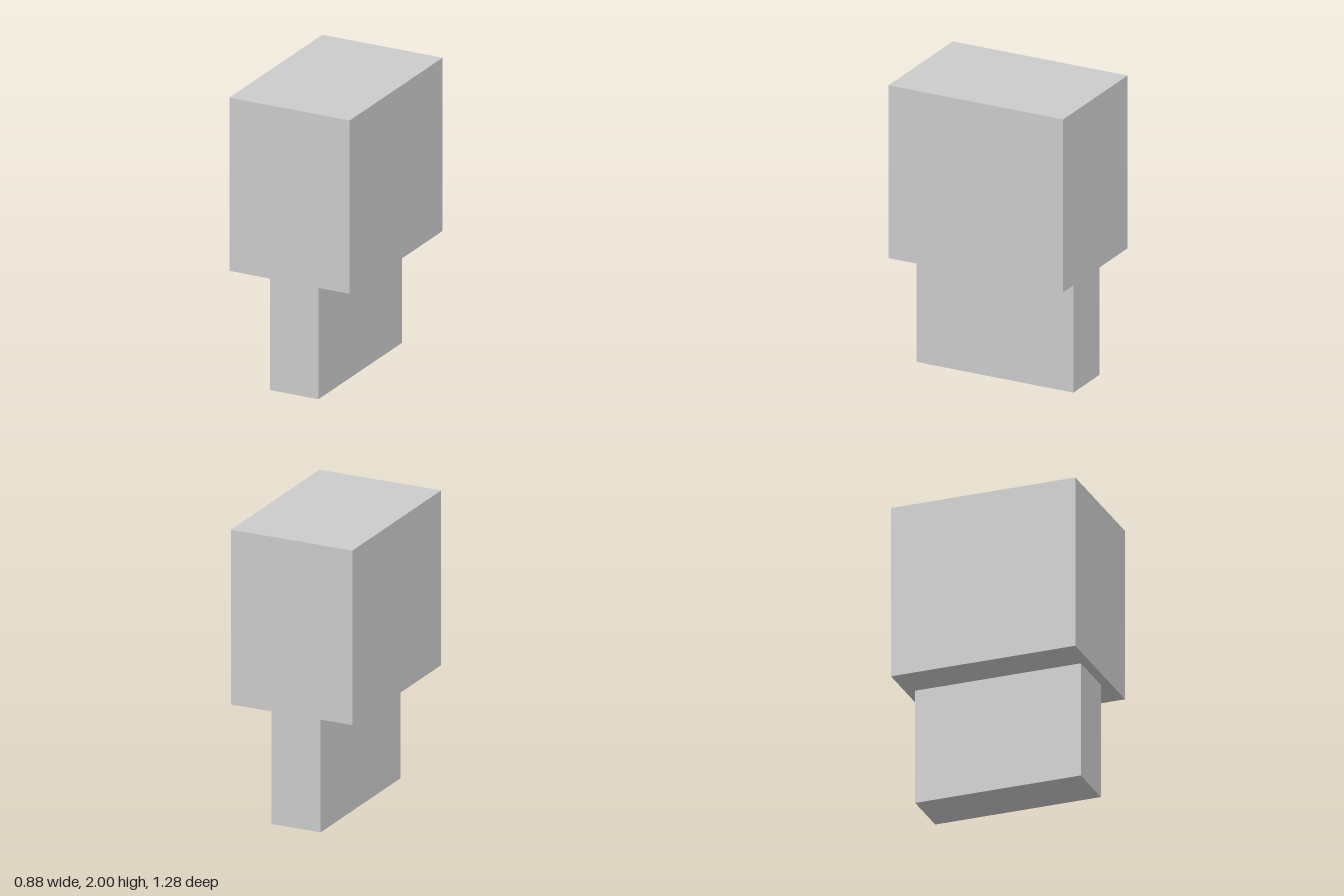
import * as THREE from 'three';

export function createModel() {
  const group = new THREE.Group();
  const material = new THREE.MeshStandardMaterial({ color: 0xcccccc, flatShading: true });

  // Adds a centred block standing at height y
  function addBlock(name, width, height, depth, y) {
    const mesh = new THREE.Mesh(new THREE.BoxGeometry(width, height, depth), material);
    mesh.name = name;
    mesh.position.y = y + height / 2;
    group.add(mesh);
  }

  // Narrow base, set in on all sides
  addBlock('base', 0.355, 0.8, 1.15, 0);

  // Wide block resting on the base
  addBlock('upperBlock', 0.88, 1.2, 1.28, 0.8);

  return group;
}
